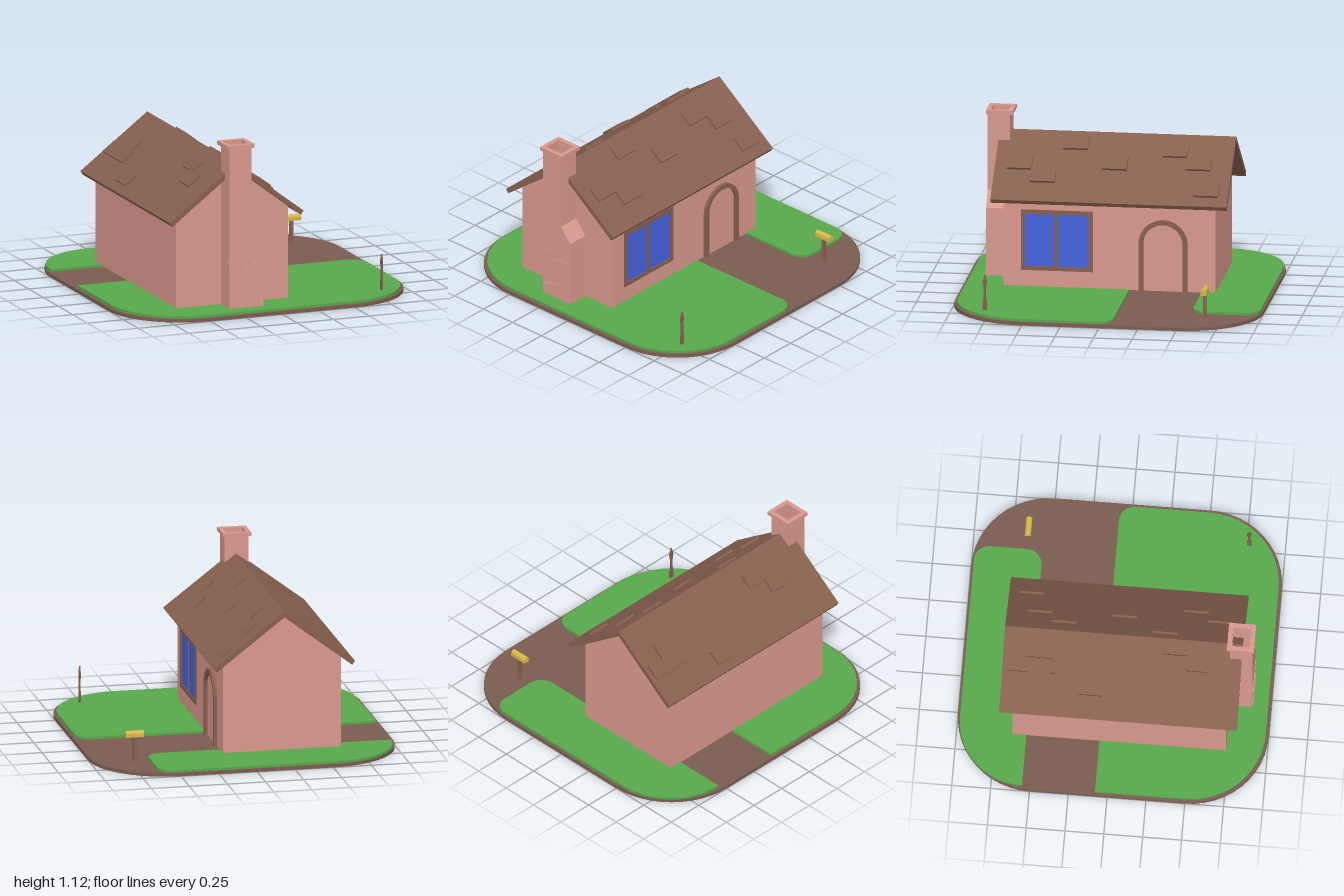
import * as THREE from 'three';

const mat = (color) => new THREE.MeshStandardMaterial({ color });
const PINK = mat(0xd9988d), BROWN = mat(0x87604f), EARTH = mat(0x7b5c50);
const GREEN = mat(0x57a94b), BLUE = mat(0x4664dd), YELLOW = mat(0xd8b84a);

export function createModel() {
  const root = new THREE.Group();

  const add = (name, geo, material, parent = root) => {
    const m = new THREE.Mesh(geo, material);
    m.name = name;
    parent.add(m);
    return m;
  };
  const group = (name) => {
    const g = new THREE.Group();
    g.name = name;
    root.add(g);
    return g;
  };
  // box given by its extents
  const box = (name, x0, x1, y0, y1, z0, z1, material, parent) => {
    const m = add(name, new THREE.BoxGeometry(x1 - x0, y1 - y0, z1 - z0), material, parent);
    m.position.set((x0 + x1) / 2, (y0 + y1) / 2, (z0 + z1) / 2);
    return m;
  };
  const poly = (pts) => new THREE.Shape(pts.map(([x, y]) => new THREE.Vector2(x, y)));
  const extrude = (shape, depth, curveSegments = 6) =>
    new THREE.ExtrudeGeometry(shape, { depth, bevelEnabled: false, curveSegments });

  // ground outline; radii in order: front right, back right, back left, front left
  const plan = (x0, x1, z0, z1, [a, b, c, d]) => {
    const s = new THREE.Shape();
    [[x1, -z1, -1, 1, a], [x1, -z0, -1, -1, b], [x0, -z0, 1, -1, c], [x0, -z1, 1, 1, d]]
      .forEach(([x, y, sx, sy, r], i) => {
        if (r) s.absarc(x + sx * r, y + sy * r, r, (i - 1) * Math.PI / 2, i * Math.PI / 2, false);
        else if (i) s.lineTo(x, y);
        else s.moveTo(x, y);
      });
    s.closePath();
    return s;
  };
  // extrude upwards from a plan, or sideways (+x) from a shape drawn in (-z, y)
  const up = (shape, y0, y1) => extrude(shape, y1 - y0).rotateX(-Math.PI / 2).translate(0, y0, 0);
  const sideways = (shape, x0, x1, seg = 12) =>
    extrude(shape, x1 - x0, seg).rotateY(Math.PI / 2).translate(x0, 0, 0);

  // Ground slab and the two lawns, leaving a path between them
  add('groundSlab', up(plan(-1, 1, -1, 1, [0.5, 0.5, 0.5, 0.5]), 0, 0.022), EARTH);
  add('frontLawn', up(plan(-0.98, 0.98, -0.08, 0.98, [0.48, 0.1, 0, 0.48]), 0.022, 0.038), GREEN);
  add('backLawn', up(plan(-0.975, 0.635, -0.985, -0.55, [0.1, 0.1, 0.43, 0]), 0.022, 0.038), GREEN);

  // House walls with gables
  const RX = -0.24; // ridge x
  add('walls', extrude(poly([[-0.63, 0.034], [0.145, 0.034], [0.145, 0.655],
    [RX, 0.945], [-0.63, 0.655]]), 1.375).translate(0, 0, -0.64), PINK);

  // Roof: a folded slab
  const slope = Math.atan2(0.352, 0.463);
  const roof = group('roof');
  add('roofSlab', extrude(poly([[RX - 0.445, 0.597], [RX, 0.938], [RX + 0.445, 0.597],
    [RX + 0.463, 0.623], [RX, 0.975], [RX - 0.463, 0.623]]), 1.53).translate(0, 0, -0.72), BROWN, roof);

  // Loose shingles at [x, z] on the slopes
  [[0.065, 0.49], [-0.015, 0.65], [-0.155, 0.305], [-0.03, 0.035], [-0.125, -0.345],
    [-0.045, -0.505], [0.125, -0.575], [-0.515, -0.61], [-0.435, -0.485], [-0.515, -0.45],
    [-0.615, -0.15], [-0.365, 0.38], [-0.445, 0.51]].forEach(([x, z]) => {
    const side = Math.sign(x - RX);
    const tile = add('shingle', new THREE.BoxGeometry(0.1, 0.022, 0.16), BROWN, roof);
    tile.position.set(x, 0.981 - Math.abs(x - RX) * Math.tan(slope), z);
    tile.rotation.z = -side * slope;
  });

  // Chimney: shouldered base, hollow shaft, cap and raised bricks
  const chimney = group('chimney');
  add('chimneyBase', extrude(poly([[-0.32, 0.03], [-0.085, 0.03], [-0.085, 0.485],
    [-0.165, 0.585], [-0.32, 0.585]]), 0.145).translate(0, 0, 0.735), PINK, chimney);
  const ring = (x0, x1, z0, z1, t) => {
    const s = plan(x0, x1, z0, z1, [0, 0, 0, 0]);
    s.holes.push(plan(x0 + t, x1 - t, z0 + t, z1 - t, [0, 0, 0, 0]));
    return s;
  };
  add('chimneyShaft', up(ring(-0.32, -0.165, 0.735, 0.88, 0.012), 0.585, 1.09), PINK, chimney);
  add('chimneyCap', up(ring(-0.337, -0.15, 0.715, 0.89, 0.03), 1.09, 1.115), PINK, chimney);
  [[-0.285, 0.36], [-0.145, 0.325], [-0.2, 0.3], [-0.235, 0.125], [-0.28, 0.1], [-0.12, 0.05]]
    .forEach(([x, y]) =>
      box('brick', x - 0.035, x + 0.035, y - 0.013, y + 0.013, 0.87, 0.885, PINK, chimney));
  box('cornerBrick', -0.325, -0.3, 0.32, 0.347, 0.85, 0.885, PINK, chimney);

  // Window on the long right-hand wall of the elevation
  const win = group('window');
  const frame = poly([[-0.62, 0.145], [-0.155, 0.145], [-0.155, 0.545], [-0.62, 0.545]]);
  frame.holes.push(poly([[-0.597, 0.172], [-0.183, 0.172], [-0.183, 0.517], [-0.597, 0.517]]));
  add('windowFrame', sideways(frame, 0.13, 0.153), BROWN, win);
  box('glass', 0.13, 0.147, 0.17, 0.52, 0.18, 0.6, BLUE, win);
  box('mullion', 0.13, 0.151, 0.17, 0.52, 0.384, 0.406, BROWN, win);

  // Arched door surround
  const arch = (r) => {
    const s = new THREE.Shape();
    s.moveTo(0.3 - r, 0.034).lineTo(0.3 + r, 0.034);
    s.absarc(0.3, 0.348, r, 0, Math.PI, false);
    s.closePath();
    return s;
  };
  const surround = new THREE.Shape();
  surround.moveTo(0.3 + 0.128, 0.034).lineTo(0.3 + 0.157, 0.034);
  surround.absarc(0.3, 0.348, 0.157, 0, Math.PI, false);
  surround.lineTo(0.3 - 0.157, 0.034).lineTo(0.3 - 0.128, 0.034);
  surround.absarc(0.3, 0.348, 0.128, Math.PI, 0, true);
  surround.closePath();
  const door = group('door');
  add('doorSurround', sideways(surround, 0.13, 0.167), BROWN, door);
  add('doorPanel', sideways(arch(0.13), 0.13, 0.147), PINK, door);

  // Letter box on its post beside the path
  const letterBox = group('letterBox');
  box('post', 0.717, 0.74, 0.02, 0.19, -0.66, -0.638, BROWN, letterBox);
  const boxEnd = new THREE.Shape();
  boxEnd.moveTo(0.629, 0.183).lineTo(0.669, 0.183);
  boxEnd.absarc(0.649, 0.203, 0.02, 0, Math.PI, false);
  boxEnd.closePath();
  add('boxBody', sideways(boxEnd, 0.67, 0.79, 6), YELLOW, letterBox);

  // Single pointed picket standing on the front lawn
  const half = [[0.013, 0.034], [0.015, 0.09], [0.008, 0.12], [0.008, 0.185], [0.015, 0.225]];
  const outline = [...half, [0, 0.276], ...half.slice().reverse().map(([w, y]) => [-w, y])];
  add('picket', sideways(poly(outline.map(([w, y]) => [w - 0.768, y])), 0.775, 0.785), BROWN);

  return root;
}
